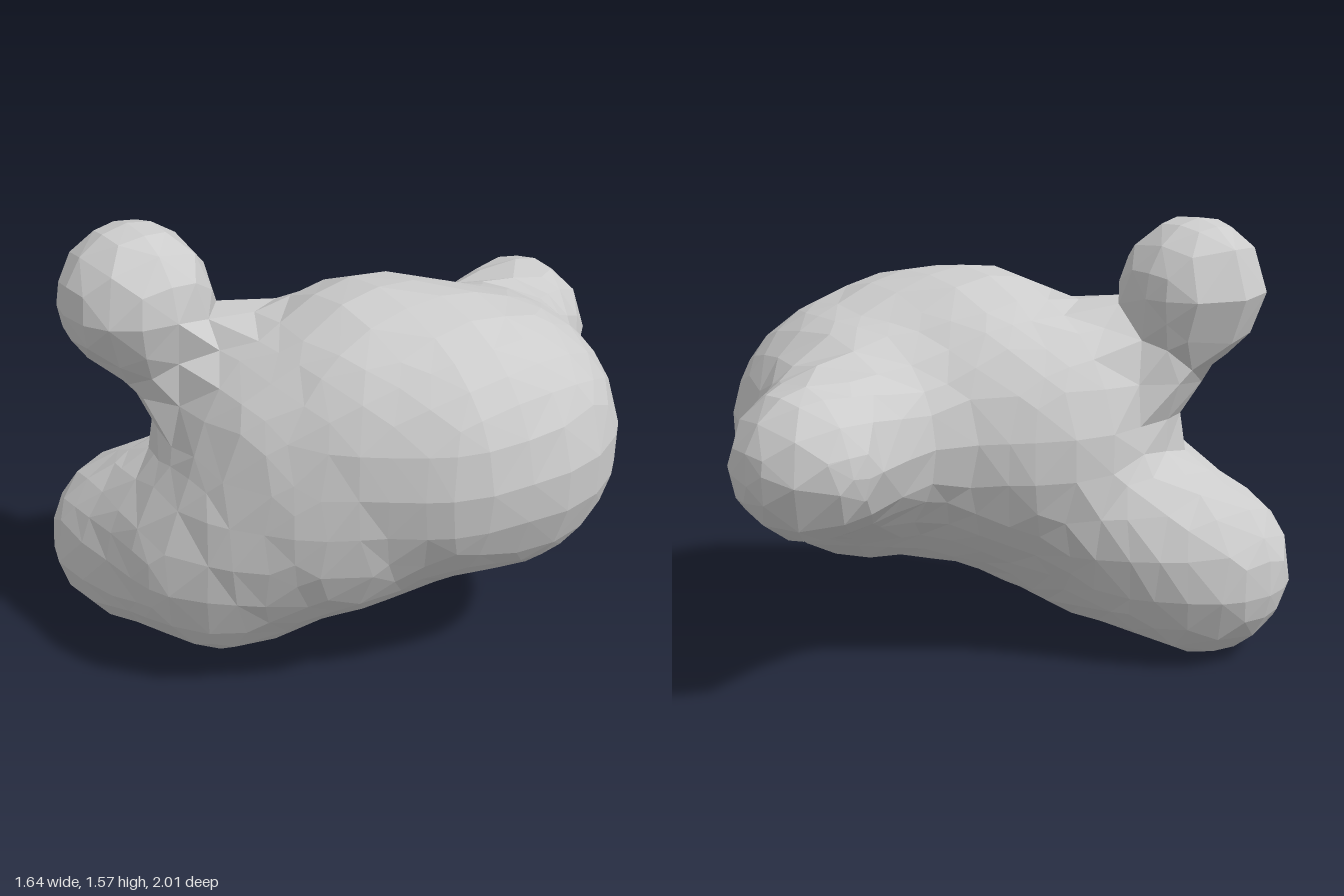
import * as THREE from 'three';

// Tapered limbs that melt together: [start, radius, end, radius, blend width]
const LIMBS = [
  [[0.335, 0.812, -0.18], 0.483, [0.28, 0.855, 0.00], 0.50, 0.04],  // main mass
  [[0.28, 0.855, 0.00], 0.50, [0.15, 0.86, 0.13], 0.515, 0.04],     // upper back
  [[0.15, 0.86, 0.13], 0.515, [0.02, 0.78, 0.29], 0.50, 0.04],      // chest
  [[0.20, 0.73, 0.10], 0.44, [0.12, 0.68, 0.30], 0.45, 0.04],       // flank
  [[0.02, 0.78, 0.29], 0.50, [-0.03, 0.57, 0.45], 0.43, 0.04],      // belly
  [[-0.03, 0.57, 0.45], 0.43, [-0.13, 0.44, 0.57], 0.388, 0.04],    // lower belly
  [[-0.13, 0.44, 0.57], 0.388, [-0.51, 0.317, 0.69], 0.323, 0.04],  // front lobe
  [[-0.20, 0.60, 0.35], 0.30, [-0.42, 0.40, 0.55], 0.29, 0.06],     // side fill
  [[0.10, 0.86, -0.38], 0.33, [-0.11, 0.877, -0.745], 0.26, 0.14],  // rear knob
  [[-0.14, 1.00, 0.42], 0.25, [-0.30, 1.02, 0.59], 0.195, 0.08],    // neck
  [[-0.30, 1.02, 0.59], 0.19, [-0.35, 1.15, 0.66], 0.17, 0.05],     // upper neck
  [[-0.40, 1.312, 0.72], 0.258, [-0.39, 1.312, 0.72], 0.258, 0.08], // head
].map(([a, ra, b, rb, k]) => ({
  a: new THREE.Vector3(...a), ra, d: new THREE.Vector3(...b).sub(new THREE.Vector3(...a)), rb, k,
}));

const N = 17, STEP = 0.147; // sampling grid

// Signed distance to the blended limbs, negative inside
const q = new THREE.Vector3();
function field(p) {
  let f = 10;
  for (const { a, ra, d, rb, k } of LIMBS) {
    q.subVectors(p, a);
    const t = THREE.MathUtils.clamp(q.dot(d) / d.lengthSq(), 0, 1);
    const s = q.addScaledVector(d, -t).length() - THREE.MathUtils.lerp(ra, rb, t);
    const h = Math.max(k - Math.abs(f - s), 0) / k;
    f = Math.min(f, s) - h * h * k / 4;
  }
  return f;
}

// Slide a point along the gradient to the surface, staying near its cell
function settle(start) {
  const e = 0.002, g = new THREE.Vector3(), p = start.clone();
  for (let i = 0; i < 5; i++) {
    const f = field(p);
    for (let c = 0; c < 3; c++) {
      const n = p.clone();
      n.setComponent(c, n.getComponent(c) + e);
      g.setComponent(c, (field(n) - f) / e);
    }
    p.addScaledVector(g, -f / Math.max(g.lengthSq(), 0.5));
  }
  return p.sub(start).clampLength(0, STEP * 0.3).add(start);
}

// Faceted skin: one vertex per crossed grid cell, one quad per crossed grid edge
function skin() {
  const stride = [1, N, N * N];
  const node = (x, y, z) => new THREE.Vector3(-0.935 + x * STEP, -0.087 + y * STEP, -1.122 + z * STEP);
  const value = [], corners = [];
  for (let z = 0; z < N; z++) for (let y = 0; y < N; y++) for (let x = 0; x < N; x++) {
    value.push(field(node(x, y, z)));
  }

  for (let z = 0; z < N - 1; z++) for (let y = 0; y < N - 1; y++) for (let x = 0; x < N - 1; x++) {
    const id = x + y * N + z * N * N, sum = new THREE.Vector3();
    let count = 0;
    for (let c = 0; c < 8; c++) for (let axis = 0; axis < 3; axis++) {
      if (c & (1 << axis)) continue;
      const o = [c & 1, (c >> 1) & 1, c >> 2];
      const i = id + o[0] + o[1] * N + o[2] * N * N;
      const v0 = value[i], v1 = value[i + stride[axis]];
      if ((v0 < 0) === (v1 < 0)) continue;
      o[axis] += v0 / (v0 - v1);
      sum.add(node(x + o[0], y + o[1], z + o[2]));
      count++;
    }
    if (count) corners[id] = settle(sum.divideScalar(count));
  }

  const points = [];
  for (let i = 0; i < value.length; i++) for (let axis = 0; axis < 3; axis++) {
    const j = i + stride[axis];
    if (j >= value.length || (value[i] < 0) === (value[j] < 0)) continue;
    const u = stride[(axis + 1) % 3], v = stride[(axis + 2) % 3];
    const quad = [i - u - v, i - v, i, i - u].map((n) => corners[n]);
    if (value[i] >= 0) quad.reverse();
    const [a, b, c, d] = quad;
    points.push(...(a.distanceTo(c) < b.distanceTo(d) ? [a, b, c, a, c, d] : [a, b, d, b, c, d]));
  }
  const geometry = new THREE.BufferGeometry().setFromPoints(points);
  geometry.computeVertexNormals();
  return geometry;
}

export function createModel() {
  const group = new THREE.Group();
  group.name = 'blob';
  const body = new THREE.Mesh(skin(), new THREE.MeshStandardMaterial({ color: 0xcccccc, flatShading: true }));
  body.name = 'blobBody';
  group.add(body);
  return group;
}
